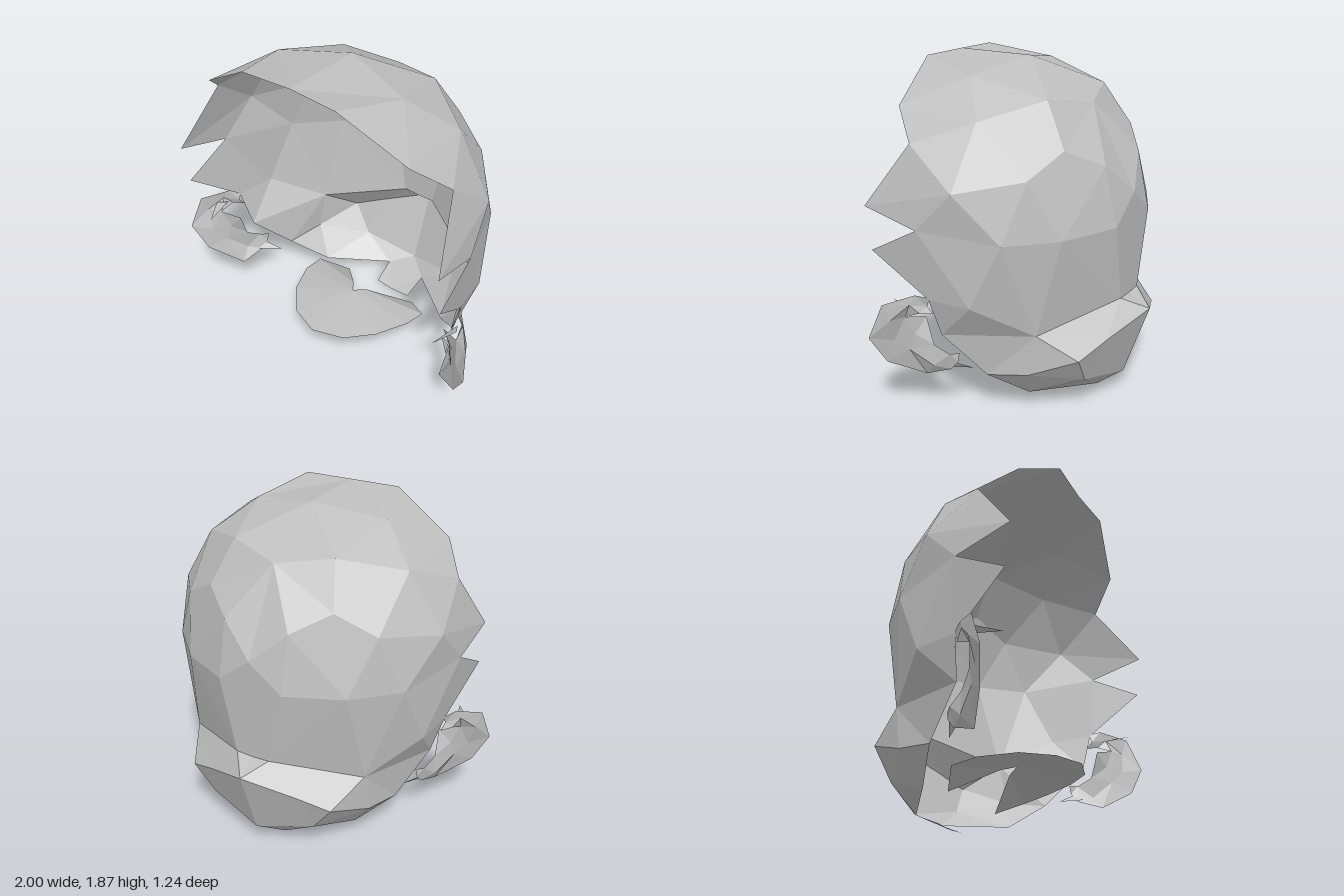
import * as THREE from 'three';

const shellGrey = new THREE.MeshStandardMaterial({ color: 0xbebebe, flatShading: true, side: THREE.DoubleSide });
shellGrey.name = 'shell grey';

// Joins two cross-sections with triangles, always taking the shorter diagonal
function stitch(a, b) {
  const tris = [];
  const dist = (p, q) => Math.hypot(p[0] - q[0], p[1] - q[1], p[2] - q[2]);
  let i = 0, j = 0;
  while (i < a.length - 1 || j < b.length - 1) {
    const canA = i < a.length - 1, canB = j < b.length - 1;
    if (canA && (!canB || dist(a[i + 1], b[j]) <= dist(a[i], b[j + 1]))) {
      tris.push([a[i], a[i + 1], b[j]]);
      i++;
    } else {
      tris.push([a[i], b[j + 1], b[j]]);
      j++;
    }
  }
  return tris;
}

function loft(rows) {
  return rows.slice(1).flatMap((row, i) => stitch(rows[i], row));
}

// Makes a faceted mesh of triangles; side -1 mirrors it across x
function facets(name, tris, side) {
  const pos = [];
  for (const [a, b, c] of tris) {
    for (const p of side > 0 ? [a, b, c] : [a, c, b]) pos.push(p[0] * side, p[1], p[2]);
  }
  const geo = new THREE.BufferGeometry();
  geo.setAttribute('position', new THREE.Float32BufferAttribute(pos, 3));
  geo.computeVertexNormals();
  const mesh = new THREE.Mesh(geo, shellGrey);
  mesh.name = name;
  return mesh;
}

// Scalp: half rows from the middle line out to the open front edge
const scalpRows = [
  [[0, 1.87, 0.6], [0.29, 1.865, 0.615]],
  [[0, 1.865, 0.14], [0.4, 1.8, 0.25], [0.64, 1.66, 0.53]],
  [[0, 1.65, -0.25], [0.3, 1.7, -0.15], [0.61, 1.62, 0.07], [0.77, 1.51, 0.365]],
  [[0, 1.2, -0.505], [0.19, 1.37, -0.43], [0.37, 1.47, -0.29], [0.58, 1.35, -0.2], [0.81, 1.3, 0.09], [0.87, 1.175, 0.6]],
  [[0, 1.05, -0.5], [0.19, 1.05, -0.5], [0.49, 1.04, -0.35], [0.71, 1.04, -0.13], [0.85, 1.09, 0.29]],
  [[0, 0.61, -0.49], [0.1, 0.615, -0.49], [0.55, 0.51, -0.23], [0.77, 0.69, 0.03], [0.8, 0.7, 0.27]],
];
const sideburn = [[[0.85, 1.09, 0.29], [0.87, 0.94, 0.57], [0.8, 0.7, 0.27]]];

// Nape: ledge under the scalp, rounded bulge and lower edge
const napeRows = [
  scalpRows[5],
  [[0, 0.545, -0.62], [0.28, 0.44, -0.5], [0.45, 0.37, -0.43], [0.55, 0.51, -0.23], [0.74, 0.48, 0.24]],
  [[0, 0.12, -0.47], [0.33, 0.2, -0.4], [0.57, 0.28, -0.19], [0.63, 0.25, 0.03]],
  [[0, 0.12, -0.47], [0.13, 0.07, -0.37], [0.45, 0.1, -0.12], [0.63, 0.25, 0.03]],
];
const neckFlap = loft([
  [[0, 0.12, -0.47], [0.13, 0.07, -0.37]],
  [[0, 0, -0.23], [0.12, 0.01, -0.23]],
]);

// Ear: curled band with outer rim, ridge and inner edge
const earRows = [
  [[0.8, 0.71, 0.26], [0.8, 0.66, 0.28], [0.79, 0.62, 0.25]],
  [[0.845, 0.73, 0.32], [0.87, 0.68, 0.34], [0.84, 0.63, 0.3]],
  [[0.96, 0.69, 0.445], [0.94, 0.6, 0.415], [0.86, 0.6, 0.38]],
  [[1, 0.5, 0.515], [0.9, 0.47, 0.43], [0.82, 0.49, 0.355]],
  [[0.92, 0.34, 0.47], [0.84, 0.4, 0.38], [0.76, 0.42, 0.28]],
  [[0.75, 0.225, 0.345], [0.77, 0.3, 0.28], [0.73, 0.37, 0.2]],
  [[0.71, 0.27, 0.21], [0.7, 0.32, 0.17], [0.69, 0.37, 0.165]],
];
const earDetails = [
  [[0.86, 0.6, 0.38], [0.75, 0.57, 0.33], [0.82, 0.49, 0.355]],
  [[0.75, 0.57, 0.33], [0.76, 0.42, 0.28], [0.82, 0.49, 0.355]],
  [[0.8, 0.65, 0.52], [0.87, 0.68, 0.4], [0.84, 0.66, 0.34]],
  [[0.72, 0.28, 0.24], [0.62, 0.26, 0.13], [0.7, 0.31, 0.18]],
];

// Jaw plate: shallow fan around a raised middle point, with a fin behind
const apex = [0, 0.29, 0.17];
const jawEdge = [[0, 0.25, 0.54], [0.18, 0.25, 0.48], [0.31, 0.25, 0.34], [0.39, 0.235, 0.15], [0.4, 0.21, 0.01]];
const jaw = jawEdge.slice(1).map((p, i) => [apex, jawEdge[i], p]);
const jawFin = [[[0.4, 0.21, 0.01], [0.25, 0.13, -0.1], [0.05, 0.27, 0.1]], [apex, [0.4, 0.21, 0.01], [0.05, 0.27, 0.1]]];

export function createModel() {
  const model = new THREE.Group();
  model.name = 'openHeadShell';
  for (const [prefix, side] of [['left', 1], ['right', -1]]) {
    const half = new THREE.Group();
    half.name = prefix + 'Half';
    half.add(
      facets(prefix + 'Scalp', loft(scalpRows), side),
      facets(prefix + 'Sideburn', sideburn, side),
      facets(prefix + 'Nape', loft(napeRows), side),
      facets(prefix + 'NeckFlap', neckFlap, side),
      facets(prefix + 'Ear', [...loft(earRows), ...earDetails], side),
      facets(prefix + 'Jaw', [...jaw, ...jawFin], side),
    );
    model.add(half);
  }
  return model;
}
